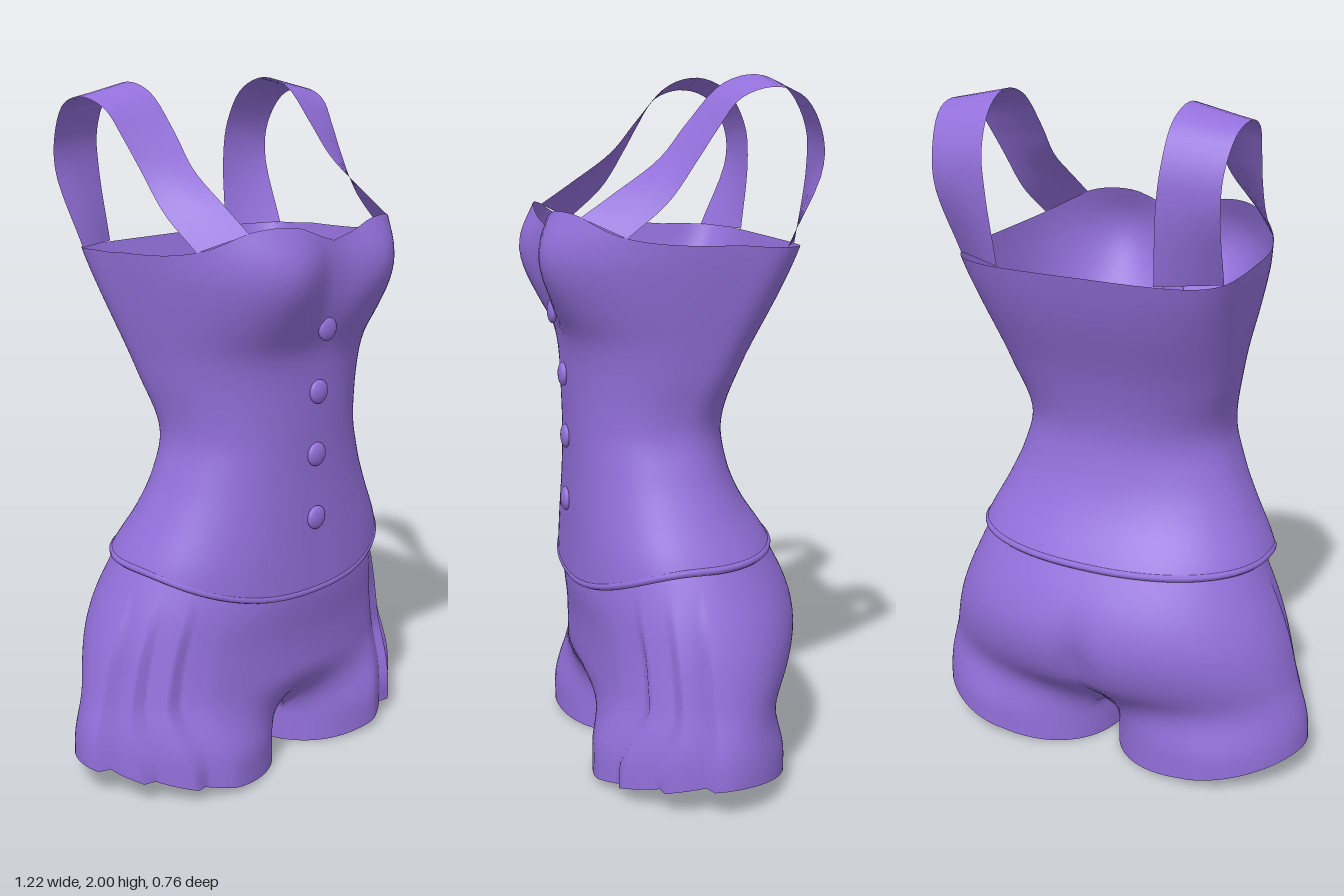
import * as THREE from 'three';

const { smoothstep, lerp, clamp } = THREE.MathUtils;
const gauss = (t) => Math.exp(-t * t);
const spow = (a, n) => Math.sign(a) * Math.pow(Math.abs(a), 2 / n);

// Smooth interpolation through [y, value] pairs sorted by y
function profile(pts) {
  const slope = (i) => {
    const a = pts[Math.max(i - 1, 0)], b = pts[Math.min(i + 1, pts.length - 1)];
    return (b[1] - a[1]) / (b[0] - a[0]);
  };
  return (y) => {
    y = clamp(y, pts[0][0], pts[pts.length - 1][0]);
    let i = 0;
    while (i < pts.length - 2 && y > pts[i + 1][0]) i++;
    const [a, b] = [pts[i], pts[i + 1]], h = b[0] - a[0], t = (y - a[0]) / h;
    const t2 = t * t, t3 = t2 * t;
    return (2 * t3 - 3 * t2 + 1) * a[1] + (t3 - 2 * t2 + t) * h * slope(i)
      + (3 * t2 - 2 * t3) * b[1] + (t3 - t2) * h * slope(i + 1);
  };
}

// Surface from a rule f(u, v) -> [x, y, z]; wrap closes it in u
function grid(f, nu, nv, wrap = false) {
  const pos = [], idx = [], cols = wrap ? nu : nu + 1;
  for (let j = 0; j <= nv; j++)
    for (let i = 0; i < cols; i++) pos.push(...f(i / nu, j / nv));
  for (let j = 0; j < nv; j++)
    for (let i = 0; i < nu; i++) {
      const a = j * cols + i, b = j * cols + (i + 1) % cols, c = a + cols, d = b + cols;
      idx.push(a, c, b, b, c, d);
    }
  const g = new THREE.BufferGeometry();
  g.setAttribute('position', new THREE.Float32BufferAttribute(pos, 3));
  g.setIndex(idx);
  g.computeVertexNormals();
  return g;
}

// Bodice profiles by height: half width, front, back, widest z, squareness
const bodiceW = profile([[0.55, 0.49], [0.67, 0.46], [0.8, 0.395], [0.9, 0.35], [1.03, 0.315], [1.2, 0.345], [1.4, 0.385], [1.55, 0.41], [1.64, 0.415]]);
const bodiceF = profile([[0.55, 0.292], [0.9, 0.282], [1.1, 0.286], [1.27, 0.295], [1.36, 0.325], [1.45, 0.345], [1.55, 0.35], [1.64, 0.33]]);
const bodiceB = profile([[0.55, -0.35], [0.67, -0.305], [0.8, -0.22], [0.9, -0.178], [1.03, -0.16], [1.2, -0.2], [1.4, -0.285], [1.55, -0.335], [1.64, -0.35]]);
const bodiceC = profile([[0.55, -0.01], [0.8, 0.02], [1.03, 0.03], [1.2, -0.03], [1.55, -0.12]]);
const backN = profile([[0.55, 2.2], [1.03, 2.3], [1.35, 3.2], [1.55, 4.5]]);
const frontN = profile([[0.9, 2.3], [1.2, 2.4], [1.5, 3]]);
const neckline = profile([[0, 1.588], [0.06, 1.605], [0.15, 1.635], [0.27, 1.63], [0.37, 1.575], [0.42, 1.55]]);

function bodicePoint(theta, y) {
  const c = Math.cos(theta), zc = bodiceC(y);
  const n = c > 0 ? frontN(y) : backN(y);
  const x = bodiceW(y) * spow(Math.sin(theta), n);
  let z = zc + (c > 0 ? bodiceF(y) - zc : zc - bodiceB(y)) * spow(c, n);
  if (c > 0) {
    z += gauss((y - 1.5) / 0.15) * (0.045 * gauss((Math.abs(x) - 0.19) / 0.13) - 0.012 * gauss(x / 0.06));
  }
  return [x, y, z];
}
const bodiceHem = (theta) => 0.56 + 0.11 * (1 - Math.max(0, Math.cos(theta)) ** 2);
function bodiceTop(theta) {
  const c = Math.cos(theta);
  if (c <= 0) return 1.55 + 0.01 * c;
  return neckline(0.41 * Math.abs(spow(Math.sin(theta), 3)));
}
// Point of the bodice at a given x and height, where a strap is sewn on
function strapEnd(x, y, front) {
  const a = Math.asin(Math.pow(x / bodiceW(y), (front ? frontN(y) : backN(y)) / 2));
  return bodicePoint(front ? a : Math.PI - a, y);
}

// Shorts profiles by height
const hipW = profile([[0, 0.62], [0.2, 0.59], [0.4, 0.545], [0.5, 0.51], [0.6, 0.465], [0.69, 0.425]]);
const hipF = profile([[0, 0.275], [0.2, 0.262], [0.4, 0.264], [0.55, 0.28], [0.69, 0.272]]);
const hipB = profile([[0, -0.27], [0.2, -0.29], [0.35, -0.36], [0.45, -0.378], [0.55, -0.355], [0.69, -0.28]]);
const WAIST = 0.69, INNER = 1.15, ROWS = 27, CROTCH = 21;

// Leg cross-section: round inside, more pointed at the outer side
function legRing(phi) {
  const s = Math.sin(phi), n = s > 0 ? 1.75 : 2.25;
  return [0.31 + 0.302 * spow(s, n), -0.03 * Math.max(0, s) + 0.272 * spow(Math.cos(phi), n)];
}
const legPhi = (u) => -INNER + u * (Math.PI + 2 * INNER);
const heightAt = (xHem, v) => lerp(WAIST, 0.24 * xHem * xHem, v);

// Outside of one leg, from front middle round the hip to back middle
function legPoint(u, v) {
  const [lx, lz] = legRing(legPhi(u)), y = heightAt(lx, v);
  const th = u * Math.PI, c = Math.cos(th), zc = -0.03;
  let x = hipW(y) * spow(Math.sin(th), 2.1);
  let z = zc + (c > 0 ? hipF(y) - zc : zc - hipB(y)) * spow(c, 2.1);
  if (c < 0) z += 0.025 * gauss(x / 0.06) * gauss((y - 0.36) / 0.13);
  const k = 1 - smoothstep(y, 0.09, 0.3);
  x = lerp(x, lx, k);
  z = lerp(z, lz, k);
  // Side pleats
  if (u > 0.2 && u < 0.46) {
    const fold = ((u - 0.2) / 0.0867) % 1;
    const s = 1 - 0.085 * fold * (1 - smoothstep(y, 0.35, 0.64));
    x = 0.2 + (x - 0.2) * s;
    z *= s;
  }
  if ((u === 0 || u === 1) && v <= CROTCH / ROWS + 1e-6) x = 0;
  return [x, y, z];
}

// Inside of one leg, below the crotch
function thighPoint(w, t) {
  const v = lerp(CROTCH / ROWS, 1, t);
  const a = legPoint(0, v), b = legPoint(1, v);
  if (w === 0) return a;
  if (w === 1) return b;
  if (t === 0) return [0, a[1], lerp(a[2], b[2], w)];
  const [x, z] = legRing(-INNER - w * (Math.PI - 2 * INNER));
  return [x, heightAt(x, v), z];
}

// Full ring round one leg, t = 1 at the opening and 0 at the crotch
const ringPoint = (q, t) => (q < 0.75
  ? legPoint(q / 0.75, lerp(CROTCH / ROWS, 1, t))
  : thighPoint(1 - (q - 0.75) / 0.25, t));

export function createModel() {
  const model = new THREE.Group();
  const purple = new THREE.MeshStandardMaterial({ color: 0x9370db, side: THREE.DoubleSide });
  purple.name = 'purple cloth';
  const add = (name, geometry, parent = model) => {
    const m = new THREE.Mesh(geometry, purple);
    m.name = name;
    parent.add(m);
    return m;
  };

  // Bodice shell and rolled hem
  add('bodice', grid((u, v) => {
    const th = u * Math.PI * 2;
    return bodicePoint(th, lerp(bodiceTop(th), bodiceHem(th), v));
  }, 112, 40, true));
  const hemPts = [];
  for (let i = 0; i < 48; i++) {
    const th = (i / 48) * Math.PI * 2;
    const [x, y, z] = bodicePoint(th, bodiceHem(th));
    hemPts.push(new THREE.Vector3(x * 0.98, y, z * 0.97));
  }
  add('bodiceHem', new THREE.TubeGeometry(new THREE.CatmullRomCurve3(hemPts, true), 96, 0.012, 8, true));

  // Front buttons
  for (const y of [1.34, 1.155, 0.97, 0.78]) {
    const b = add('button', new THREE.SphereGeometry(0.035, 20, 12));
    b.scale.z = 0.4;
    b.position.set(0, y, bodicePoint(0, y)[2] + 0.004);
  }

  // Shoulder straps, lofted between two edges
  const edge = (pts) => new THREE.CatmullRomCurve3(pts.map((p) => new THREE.Vector3(...p)));
  const innerEdge = edge([strapEnd(0.28, 1.626, true), [0.277, 1.69, 0.2], [0.275, 1.78, 0.075], [0.27, 1.87, 0], [0.27, 1.975, -0.1],
    [0.27, 2.0, -0.2], [0.265, 1.96, -0.29], [0.26, 1.86, -0.345], [0.25, 1.75, -0.353], strapEnd(0.235, 1.543, false)]);
  const outerEdge = edge([strapEnd(0.37, 1.575, true), [0.385, 1.67, 0.08], [0.4, 1.78, 0.005], [0.415, 1.86, -0.045], [0.43, 1.935, -0.1],
    [0.44, 1.965, -0.19], [0.435, 1.94, -0.275], [0.425, 1.85, -0.33], [0.42, 1.75, -0.335], strapEnd(0.4, 1.547, false)]);

  for (const [side, sx] of [['left', 1], ['right', -1]]) {
    const flip = (f) => (...a) => {
      const [x, y, z] = f(...a);
      return [x * sx, y, z];
    };
    add(side + 'Strap', grid(flip((u, v) => {
      const p = innerEdge.getPoint(v).lerp(outerEdge.getPoint(v), u);
      return [p.x, p.y, p.z];
    }), 4, 40));

    // One leg of the shorts with its inner thigh and thick hem
    const leg = new THREE.Group();
    leg.name = side + 'ShortsLeg';
    model.add(leg);
    add('legOutside', grid(flip(legPoint), 90, ROWS), leg);
    add('innerThigh', grid(flip(thighPoint), 12, ROWS - CROTCH), leg);
    const inset = (q, t, s) => {
      const [x, y, z] = ringPoint(q, t);
      return [0.31 + (x - 0.31) * s, y, z * s];
    };
    add('legHem', grid(flip((q, v) => inset(q, 1, lerp(1, 0.87, v))), 120, 1, true), leg);
    add('legLining', grid(flip((q, v) => inset(q, 1 - 0.75 * v, lerp(0.87, 0.95, v))), 120, 3, true), leg);
  }
  return model;
}
